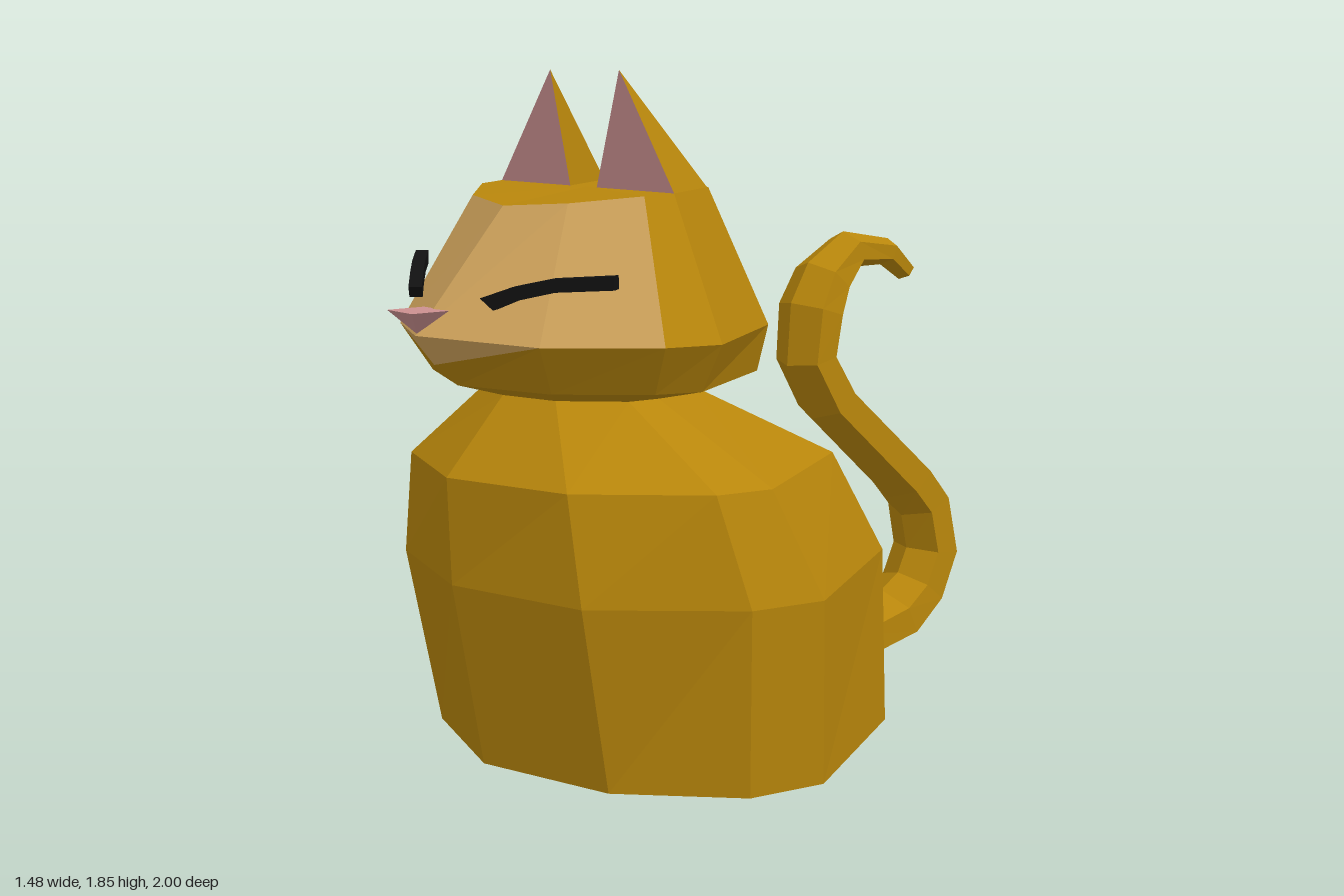
import * as THREE from 'three';
import { ConvexGeometry } from 'three/addons/geometries/ConvexGeometry.js';

const mat = (color) => new THREE.MeshStandardMaterial({ color, flatShading: true });
const V = (x, y, z) => new THREE.Vector3(x, y, z);

// Flat-shaded geometry from a list of corner points, three per triangle
function fromTriangles(points) {
  const g = new THREE.BufferGeometry().setFromPoints(points);
  g.computeVertexNormals();
  return g;
}

// Fan of triangles from a centre to a closed ring
function fan(ring, centre) {
  return ring.flatMap((p, i) => [centre, p, ring[(i + 1) % ring.length]]);
}

// Skin between closed rings; skip(row, column) leaves a facet out
function loft(rings, skip = () => false) {
  const out = [];
  for (let r = 0; r < rings.length - 1; r++) {
    const n = rings[r].length;
    for (let j = 0; j < n; j++) {
      if (skip(r, j)) continue;
      const k = (j + 1) % n;
      const [a, b, c, d] = [rings[r][j], rings[r][k], rings[r + 1][k], rings[r + 1][j]];
      out.push(a, b, c, a, c, d);
    }
  }
  return out;
}

// Symmetric ten-sided ring from its front-to-back half of [x, z, y?] points
function ring(y, half) {
  const left = half.map(([x, z, py = y]) => V(x, py, z));
  const right = left.slice(1, -1).reverse().map((p) => V(-p.x, p.y, p.z));
  return [...left, ...right];
}

// Copy mirrored across x = 0 with its winding kept outward
function mirrored(geometry) {
  const g = geometry.index ? geometry.toNonIndexed() : geometry.clone();
  const p = g.attributes.position, pts = [];
  for (let i = 0; i < p.count; i += 3)
    for (const k of [0, 2, 1]) pts.push(V(-p.getX(i + k), p.getY(i + k), p.getZ(i + k)));
  return fromTriangles(pts);
}

export function createModel() {
  const model = new THREE.Group();
  const gold = mat(0xb8860b), fawn = mat(0xd0a45c), pink = mat(0xcb9090);
  const black = mat(0x111111), grey = mat(0xcccccc);
  const add = (name, geometry, material) => {
    const mesh = new THREE.Mesh(geometry, material);
    mesh.name = name;
    model.add(mesh);
  };
  const addPair = (name, geometry, material) => {
    add('left' + name, geometry, material);
    add('right' + name, mirrored(geometry), material);
  };

  // Body
  const foot = ring(0, [[0, 0.77], [0.4, 0.65], [0.66, 0.39], [0.7, 0.17], [0.42, -0.33], [0, -0.42]]);
  const neck = ring(1, [[0, 0.69], [0.17, 0.64], [0.3, 0.5], [0.31, 0.41], [0.19, 0.2], [0, 0.15]]);
  add('body', fromTriangles(loft([
    foot,
    ring(0.51, [[0, 0.86], [0.42, 0.745], [0.7, 0.42], [0.74, 0.21], [0.43, -0.3], [0, -0.41]]),
    ring(0.8, [[0, 0.87], [0.37, 0.75], [0.62, 0.47], [0.65, 0.31], [0.38, -0.15], [0, -0.24]]),
    neck,
  ])), gold);
  add('base', fromTriangles(fan([...foot].reverse(), V(0, 0, 0.2))), grey);

  // Head, with the front facets left open for the face
  const cheeks = ring(1.17, [[0, 0.9, 1.1], [0.33, 0.8], [0.53, 0.56], [0.57, 0.41], [0.34, 0.055], [0, -0.02, 1.19]]);
  const crown = ring(1.54, [[0, 0.68, 1.5], [0.22, 0.63, 1.515], [0.37, 0.5, 1.535], [0.39, 0.42], [0.23, 0.175], [0, 0.13]]);
  const isFace = (r, j) => r === 2 && [0, 1, 8, 9].includes(j);
  add('head', fromTriangles([
    ...loft([
      neck,
      ring(1.04, [[0, 0.83], [0.28, 0.73], [0.45, 0.53], [0.49, 0.41], [0.3, 0.06], [0, 0]]),
      cheeks,
      crown,
    ], isFace),
    ...fan(crown, V(0, 1.54, 0.41)),
  ]), gold);

  // Face and underside of the muzzle
  const tip = V(0, 1.18, 0.955);
  const brow = [tip, ...cheeks.slice(1)];
  add('face', fromTriangles([
    ...loft([brow, crown], (r, j) => !isFace(2, j)),
    cheeks[0], cheeks[1], tip,
    cheeks[0], tip, cheeks[9],
  ]), fawn);

  // Ears: gold shells with pink fronts
  const inner = V(0.06, 1.54, 0.42), outer = V(0.39, 1.54, 0.42);
  const back = V(0.23, 1.535, 0.175), point = V(0.155, 1.85, 0.415);
  addPair('Ear', fromTriangles([outer, back, point, back, inner, point]), gold);
  addPair('InnerEar', fromTriangles([inner, outer, point]), pink);

  // Closed eyes
  const lid = [[0, 1.285], [0.035, 1.255], [0.1, 1.282], [0.2, 1.305], [0.355, 1.315],
    [0.355, 1.35], [0.19, 1.338], [0.085, 1.315]];
  const eye = new THREE.ExtrudeGeometry(new THREE.Shape(lid.map(([u, y]) => new THREE.Vector2(u, y))),
    { depth: 0.035, bevelEnabled: false });
  eye.rotateY(0.61).translate(0.15, 0, 0.84);
  addPair('Eye', eye, black);

  // Nose
  add('nose', new ConvexGeometry([
    V(-0.06, 1.245, 1), V(0.06, 1.245, 1), V(-0.06, 1.245, 0.89), V(0.06, 1.245, 0.89), V(0, 1.185, 0.95),
  ]), pink);

  // Tail: hexagonal sections along [z, y, radius]
  const path = [[-0.39, 0.103, 0.083], [-0.55, 0.103, 0.083], [-0.76, 0.152, 0.09], [-0.86, 0.225, 0.085],
    [-0.915, 0.345, 0.085], [-0.88, 0.5, 0.083], [-0.805, 0.585, 0.083], [-0.48, 0.865, 0.08],
    [-0.395, 1, 0.078], [-0.412, 1.145, 0.083], [-0.458, 1.237, 0.075], [-0.557, 1.315, 0.057],
    [-0.712, 1.3, 0.042], [-0.797, 1.235, 0.031]];
  const spine = path.map(([z, y]) => V(0, y, z));
  const sections = spine.map((c, i) => {
    const before = spine[Math.max(i - 1, 0)], after = spine[Math.min(i + 1, spine.length - 1)];
    const inDir = c.clone().sub(before).normalize(), outDir = after.clone().sub(c).normalize();
    const up = inDir.add(outDir).normalize().cross(V(1, 0, 0));
    return Array.from({ length: 6 }, (_, k) => {
      const a = (k + 0.5) * Math.PI / 3, r = path[i][2];
      return c.clone().addScaledVector(up, r * Math.sin(a)).add(V(1.35 * r * Math.cos(a), 0, 0));
    });
  });
  add('tail', fromTriangles([
    ...loft(sections),
    ...fan([...sections[0]].reverse(), spine[0]),
    ...fan(sections.at(-1), spine.at(-1)),
  ]), gold);

  return model;
}
